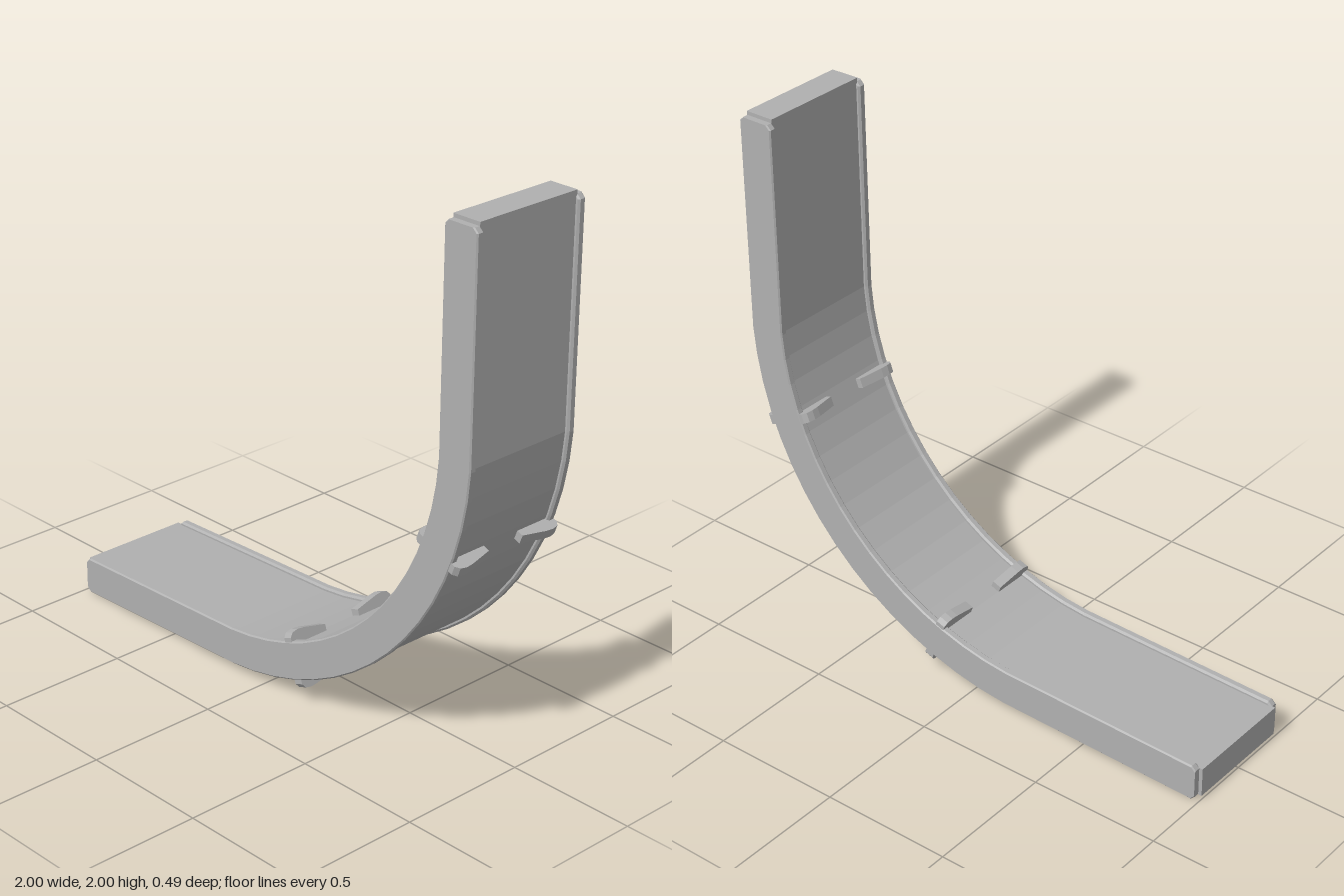
import * as THREE from 'three';

const CX = -0.231, CY = 1.243, R = 1.152; // bend centre and mid radius
const rad = THREE.MathUtils.degToRad;

// Station on the bend: position p and outward normal n in the xy plane
function onArc(deg) {
  const c = Math.cos(rad(deg)), s = Math.sin(rad(deg));
  return { x: CX + R * c, y: CY + R * s, nx: c, ny: s };
}

// Straight run, bend, straight run; ext lengthens both ends
function path(ext, bevel) {
  const list = [{ x: -0.985 - ext, y: 0.071, nx: 0, ny: -1, inset: bevel }];
  if (bevel) list.push({ x: -0.985 + bevel, y: 0.071, nx: 0, ny: -1 });
  const n = 16;
  for (let i = 0; i <= n; i++) list.push(onArc(-86.4 + (82.8 * i) / n));
  if (bevel) list.push({ x: 0.925, y: 1.985 - bevel, nx: 1, ny: 0 });
  list.push({ x: 0.925, y: 1.985 + ext, nx: 1, ny: 0, inset: bevel });
  return list;
}

// Faceted sweep of a closed section of [normal offset, z] points, with end caps
function sweep(stations, section) {
  let pts = section.map(([a, b]) => new THREE.Vector2(a, b));
  if (THREE.ShapeUtils.area(pts) < 0) pts.reverse();
  const rings = stations.map((s) => pts.map((p) => {
    const d = p.x - Math.sign(p.x) * (s.inset || 0);
    return [s.x + s.nx * d, s.y + s.ny * d, p.y];
  }));
  const out = [];
  const tri = (a, b, c) => out.push(...a, ...b, ...c);
  for (let i = 0; i < rings.length - 1; i++) {
    const A = rings[i], B = rings[i + 1];
    for (let j = 0; j < pts.length; j++) {
      const k = (j + 1) % pts.length;
      tri(A[j], B[j], B[k]);
      tri(A[j], B[k], A[k]);
    }
  }
  const first = rings[0], last = rings[rings.length - 1];
  for (const [a, b, c] of THREE.ShapeUtils.triangulateShape(pts, [])) {
    tri(first[a], first[b], first[c]);
    tri(last[c], last[b], last[a]);
  }
  const g = new THREE.BufferGeometry();
  g.setAttribute('position', new THREE.Float32BufferAttribute(out, 3));
  g.computeVertexNormals();
  return g;
}

export function createModel() {
  const group = new THREE.Group();
  const grey = new THREE.MeshStandardMaterial({ color: 0xb0b0b0 });
  grey.name = 'grey';
  const add = (name, geometry) => {
    const mesh = new THREE.Mesh(geometry, grey);
    mesh.name = name;
    group.add(mesh);
  };

  // Recessed channel body, slightly longer than the rails
  add('channel', sweep(path(0.014, 0),
    [[-0.057, -0.22], [0.057, -0.22], [0.057, 0.22], [-0.057, 0.22]]));

  for (const side of [1, -1]) {
    const label = side > 0 ? 'front' : 'back';

    // Side rail with chamfered edges and ends
    const rail = [[-0.071, 0.221], [-0.071, 0.24], [-0.066, 0.245], [0.066, 0.245],
      [0.071, 0.24], [0.071, 0.221], [0.064, 0.214], [-0.064, 0.214]];
    add(label + 'Rail', sweep(path(0, 0.016), rail.map(([n, z]) => [n, z * side])));

    // Arched clips over the rail, on both faces of the bend
    const clip = [[0.05, 0.243], [0.085, 0.243], [0.101, 0.23], [0.106, 0.205],
      [0.103, 0.175], [0.093, 0.13], [0.082, 0.08], [0.05, 0.08]];
    for (const deg of [-70, -21]) {
      const s = onArc(deg);
      const ends = [-0.018, 0.018].map((t) => ({ ...s, x: s.x - s.ny * t, y: s.y + s.nx * t }));
      for (const face of [1, -1]) {
        add(label + (face > 0 ? 'OuterClip' : 'InnerClip'),
          sweep(ends, clip.map(([n, z]) => [n * face, z * side])));
      }
    }
  }
  return group;
}
